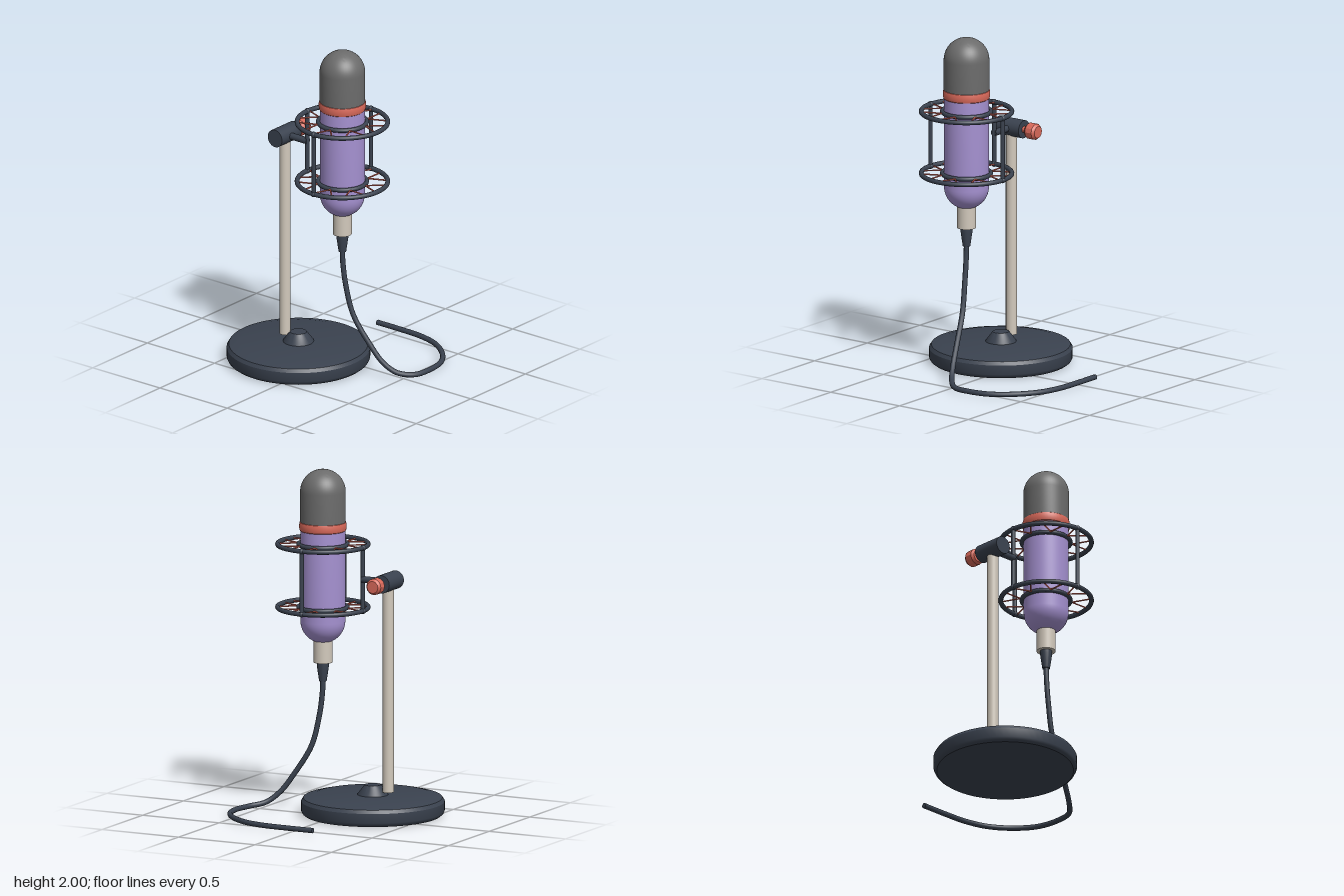
import * as THREE from 'three';
import { toCreasedNormals } from 'three/addons/utils/BufferGeometryUtils.js';

const mat = (name, color) => {
  const m = new THREE.MeshStandardMaterial({ color });
  m.name = name;
  return m;
};

export function createModel() {
  const dark = mat('dark slate', 0x3a424f);
  const cream = mat('warm grey metal', 0xd2c9bc);
  const purple = mat('lilac', 0xa692d2);
  const grey = mat('mesh grey', 0x6b6b6b);
  const coral = mat('coral', 0xd9695a);

  const model = new THREE.Group();
  model.name = 'studioMicrophone';
  const X = -0.15, MIC_Z = 0.167, BASE_Z = -0.16, POLE_Z = -0.26, ARM_Y = 1.375;

  const add = (parent, name, geo, material, x = 0, y = 0, z = 0) => {
    const mesh = new THREE.Mesh(geo, material);
    mesh.name = name;
    mesh.position.set(x, y, z);
    parent.add(mesh);
    return mesh;
  };
  const lathe = (pts, seg = 48) => toCreasedNormals(
    new THREE.LatheGeometry(pts.map(([r, y]) => new THREE.Vector2(r, y)), seg), 0.5);
  const up = new THREE.Vector3(0, 1, 0);
  const rod = (parent, name, a, b, r, material, seg = 12) => {
    const dir = b.clone().sub(a);
    const mesh = add(parent, name, new THREE.CylinderGeometry(r, r, dir.length(), seg), material);
    mesh.position.copy(a).addScaledVector(dir, 0.5);
    mesh.quaternion.setFromUnitVectors(up, dir.normalize());
    return mesh;
  };
  const V = (x, y, z) => new THREE.Vector3(x, y, z);
  const arc = (r, cy, from, to, n = 12) => Array.from({ length: n + 1 }, (_, i) => {
    const t = from + (to - from) * i / n;
    return [Math.max(0, r * Math.cos(t)), cy + r * Math.sin(t)];
  });

  // Stand: weighted base, collar, pole
  const stand = new THREE.Group();
  stand.name = 'stand';
  model.add(stand);
  add(stand, 'base', lathe([[0, 0], [0.395, 0], [0.408, 0.01], [0.415, 0.025], [0.415, 0.08],
    [0.402, 0.1], [0.34, 0.115], [0, 0.118]], 64), dark, X, 0, BASE_Z);
  add(stand, 'baseCollar', lathe([[0.09, 0.112], [0.088, 0.122], [0.055, 0.165], [0.048, 0.175], [0, 0.175]]),
    dark, X, 0, BASE_Z);
  add(stand, 'pole', new THREE.CylinderGeometry(0.033, 0.033, 1.22, 32), cream, X, 0.75, POLE_Z);

  // Clamp barrel, screw, faceted knob and arm to the cradle
  const clamp = new THREE.Group();
  clamp.name = 'clamp';
  model.add(clamp);
  rod(clamp, 'clampBarrel', V(X - 0.09, ARM_Y, POLE_Z - 0.002), V(X + 0.09, ARM_Y, POLE_Z - 0.002), 0.053, dark, 32);
  rod(clamp, 'knobScrew', V(-0.065, ARM_Y, POLE_Z), V(-0.02, ARM_Y, POLE_Z), 0.019, coral, 16);
  const knob = add(clamp, 'knob', lathe([[0, 0], [0.036, 0], [0.048, 0.014], [0.048, 0.06],
    [0.036, 0.075], [0, 0.075]], 12), coral, -0.031, ARM_Y, POLE_Z);
  knob.rotation.z = -Math.PI / 2;
  rod(clamp, 'arm', V(X, ARM_Y, POLE_Z + 0.03), V(X, ARM_Y, -0.09), 0.02, dark, 16);

  // Shock mount: two levels of rings laced with elastic cords
  const mount = new THREE.Group();
  mount.name = 'shockMount';
  mount.position.set(X, 0, MIC_Z);
  model.add(mount);
  const RING = 0.262, LOW = 1.19, HIGH = 1.56;
  const polar = (r, deg, y) => {
    const a = deg * Math.PI / 180;
    return V(r * Math.cos(a), y, -r * Math.sin(a));
  };
  for (const y of [LOW, HIGH]) {
    const outer = add(mount, 'outerRing', new THREE.TorusGeometry(RING, 0.014, 12, 64), dark, 0, y, 0);
    const inner = add(mount, 'innerRing', new THREE.TorusGeometry(0.141, 0.013, 12, 48), dark, 0, y, 0);
    outer.rotation.x = inner.rotation.x = Math.PI / 2;
    for (let i = 0; i < 8; i++) {
      const mid = 11.25 + i * 45;
      for (const side of [-14, 14]) {
        rod(mount, 'elasticCord', polar(0.15, mid, y), polar(0.254, mid + side, y), 0.0045, coral, 6);
      }
    }
  }
  for (const deg of [0, 90, 180]) {
    rod(mount, 'mountPost', polar(RING, deg, LOW), polar(RING, deg, HIGH), 0.013, dark);
    for (const y of [LOW, HIGH]) {
      const p = polar(RING, deg, y);
      add(mount, 'postJoint', new THREE.SphereGeometry(0.0175, 16, 12), dark, p.x, p.y, p.z);
    }
  }

  // Microphone
  const mic = new THREE.Group();
  mic.name = 'microphone';
  mic.position.set(X, 0, MIC_Z);
  model.add(mic);
  add(mic, 'body', lathe([...arc(0.13, 1.11, -Math.PI / 2, 0), [0.13, 1.65]]), purple);
  add(mic, 'grille', lathe([[0.132, 1.68], ...arc(0.132, 1.868, 0, Math.PI / 2, 16)]), grey);
  add(mic, 'band', lathe([[0.128, 1.638], [0.134, 1.643], [0.137, 1.655], [0.137, 1.677],
    [0.134, 1.69], [0.128, 1.695]]), coral);
  add(mic, 'connector', new THREE.CylinderGeometry(0.055, 0.055, 0.135, 32), cream, 0, 0.9325, 0);
  add(mic, 'strainRelief', lathe([[0, 0.755], [0.022, 0.755], [0.035, 0.845], [0.035, 0.868]], 24), dark);

  // Cable hanging down and curling over the ground
  const path = new THREE.CatmullRomCurve3([
    V(X, 0.79, MIC_Z), V(-0.15, 0.69, 0.17), V(-0.145, 0.54, 0.19), V(-0.13, 0.37, 0.232),
    V(-0.098, 0.2, 0.33), V(-0.07, 0.1, 0.4), V(-0.025, 0.038, 0.47), V(0.05, 0.02, 0.54),
    V(0.17, 0.02, 0.56), V(0.3, 0.02, 0.535), V(0.41, 0.02, 0.455), V(0.5, 0.02, 0.33),
    V(0.54, 0.02, 0.19), V(0.549, 0.02, 0.03), V(0.55, 0.02, -0.137)]);
  add(model, 'cable', new THREE.TubeGeometry(path, 120, 0.0155, 12), dark);
  rod(model, 'cableEnd', V(0.55, 0.02, -0.125), V(0.55, 0.02, -0.14), 0.0157, dark);

  return model;
}
